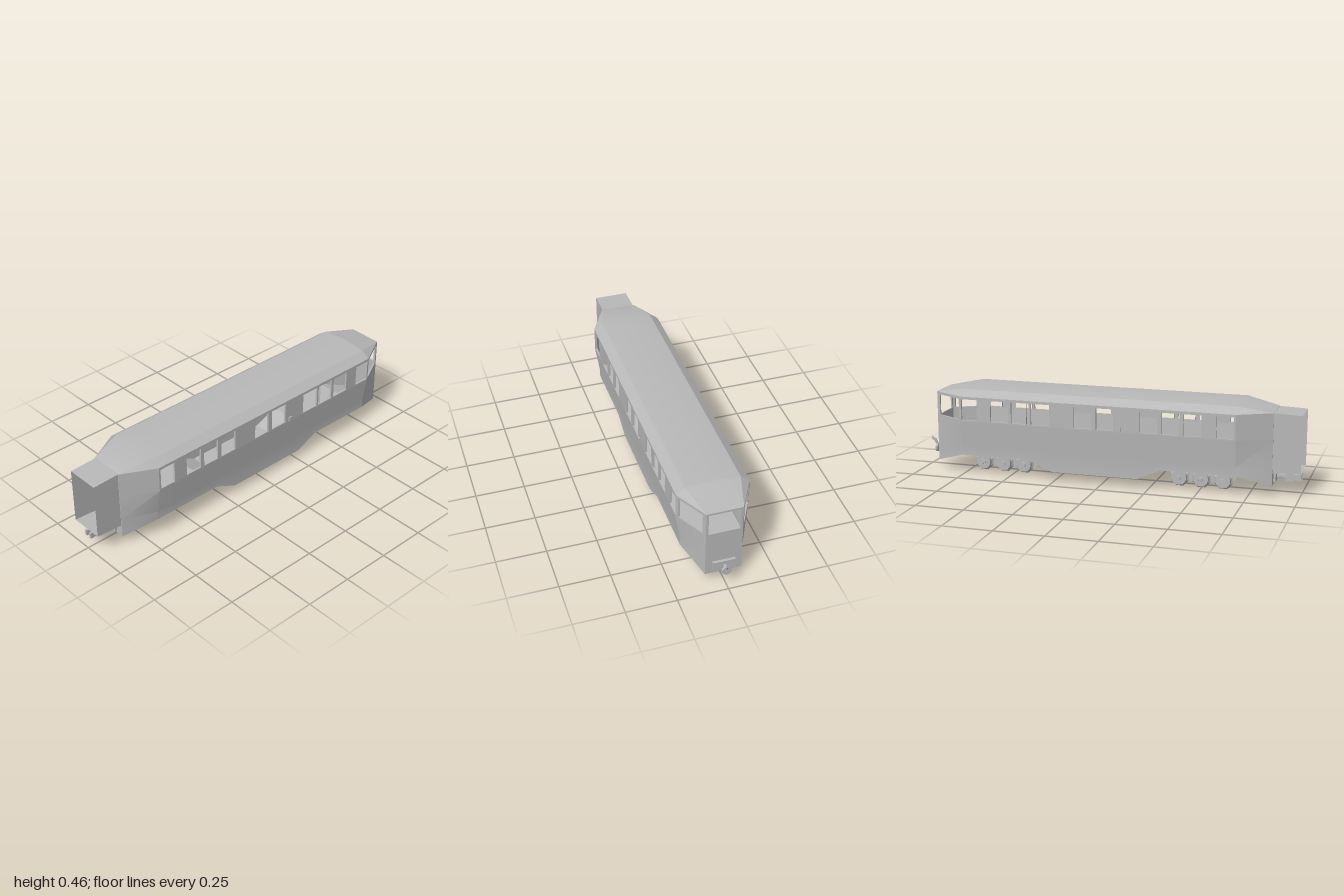
import * as THREE from 'three';
import { toCreasedNormals } from 'three/addons/utils/BufferGeometryUtils.js';

const shellGray = new THREE.MeshStandardMaterial({ color: 0xb8b8b8, side: THREE.DoubleSide });
const lerp = THREE.MathUtils.lerp;

// piecewise linear lookup in [x, value] knots
function ramp(knots, x) {
  for (let i = 1; i < knots.length; i++) {
    const [x0, v0] = knots[i - 1], [x1, v1] = knots[i];
    if (x <= x1) return lerp(v0, v1, (x - x0) / (x1 - x0));
  }
  return knots[knots.length - 1][1];
}

const REAR = -0.86, NOSE = 0.92;
const taper = [[REAR, 0], [-0.69, 1], [0.75, 1], [NOSE, 0]];
const belly = [[REAR, 0.05], [-0.69, 0.105], [-0.31, 0.105], [-0.19, 0.05],
  [0.26, 0.05], [0.39, 0.105], [0.75, 0.105], [NOSE, 0.05]];
const windows = [[-0.68, -0.595], [-0.52, -0.43], [-0.41, -0.32], [-0.297, -0.206],
  [-0.072, 0.019], [0.043, 0.139], [0.265, 0.366], [0.377, 0.473], [0.489, 0.586],
  [0.66, 0.746], [0.762, 0.9]];

// closed hull cross-section at x: up the left side, over the roof, down the right side
function section(x) {
  const t = ramp(taper, x), low = lerp(0.09, 0.158, t), wide = lerp(0.09, 0.18, t);
  const half = [[low, ramp(belly, x)], [low, 0.15], [wide, 0.285], [wide, 0.296],
    [wide, 0.406], [wide, 0.42], [lerp(0.09, 0.135, t), lerp(0.42, 0.452, t)]];
  const ridge = [0, lerp(0.42, 0.463, t)];
  const loop = [...half, ridge, ...half.map(([z, y]) => [-z, y]).reverse()];
  return loop.map(([z, y]) => new THREE.Vector3(x, y, z));
}

function meshFromPoints(name, points) {
  const geo = toCreasedNormals(new THREE.BufferGeometry().setFromPoints(points), 0.4);
  const mesh = new THREE.Mesh(geo, shellGray);
  mesh.name = name;
  return mesh;
}

const quad = (out, a, b, c, d) => out.push(a, b, c, a, c, d);

function buildHull() {
  const shell = [], reveals = [];
  const xs = [...new Set([...belly.map(k => k[0]), ...windows.flat()])].sort((a, b) => a - b);
  for (let i = 0; i + 1 < xs.length; i++) {
    const A = section(xs[i]), B = section(xs[i + 1]), n = A.length;
    const mid = (xs[i] + xs[i + 1]) / 2;
    const open = windows.some(([a, b]) => mid > a && mid < b);
    for (let j = 0; j < n; j++) {
      const k = (j + 1) % n;
      const corners = [A[j], B[j], B[k], A[k]];
      if (!(open && (j === 3 || j === 10))) { quad(shell, ...corners); continue; }
      // short reveals around each opening
      const inner = corners.map(p => p.clone().setZ(p.z - Math.sign(p.z) * 0.01));
      for (let e = 0; e < 4; e++) {
        const f = (e + 1) % 4;
        quad(reveals, corners[e], corners[f], inner[f], inner[e]);
      }
    }
  }
  return [meshFromPoints('hull', shell), meshFromPoints('windowReveals', reveals)];
}

function box(name, x0, x1, y0, y1, z0, z1) {
  const mesh = new THREE.Mesh(new THREE.BoxGeometry(x1 - x0, y1 - y0, z1 - z0), shellGray);
  mesh.position.set((x0 + x1) / 2, (y0 + y1) / 2, (z0 + z1) / 2);
  mesh.name = name;
  return mesh;
}

// flat end wall with one rectangular opening
function endWall(name, x, halfOpen, y0, y1) {
  const s = new THREE.Shape([[-0.09, 0.05], [0.09, 0.05], [0.09, 0.42], [-0.09, 0.42]]
    .map(p => new THREE.Vector2(...p)));
  s.holes.push(new THREE.Path([[-halfOpen, y0], [-halfOpen, y1], [halfOpen, y1], [halfOpen, y0]]
    .map(p => new THREE.Vector2(...p))));
  const geo = new THREE.ExtrudeGeometry(s, { depth: 0.008, bevelEnabled: false });
  const mesh = new THREE.Mesh(geo, shellGray);
  mesh.rotation.y = x > 0 ? Math.PI / 2 : -Math.PI / 2;
  mesh.position.x = x - Math.sign(x) * 0.008;
  mesh.name = name;
  return mesh;
}

// open-ended passage behind the rear wall
function buildGangway() {
  const ring = (x, y0, y1) => [[0.087, y0], [0.087, y1], [-0.087, y1], [-0.087, y0]]
    .map(([z, y]) => new THREE.Vector3(x, y, z));
  const A = ring(-1, 0.125, 0.414), B = ring(-0.855, 0.115, 0.419), out = [];
  for (let j = 0; j < 4; j++) quad(out, A[j], B[j], B[(j + 1) % 4], A[(j + 1) % 4]);
  return meshFromPoints('gangway', out);
}

// cylinder along z, with a flat side facing down
function disc(name, rOuter, rInner, depth, x, y, z, sides) {
  const geo = new THREE.CylinderGeometry(rOuter, rInner, depth, sides);
  geo.rotateY(Math.PI / sides).rotateX(Math.PI / 2);
  const mesh = new THREE.Mesh(toCreasedNormals(geo, 0.5), shellGray);
  mesh.position.set(x, y, z);
  mesh.name = name;
  return mesh;
}

function buildBogie(cx) {
  const g = new THREE.Group();
  g.name = 'bogie';
  g.add(box('bogieBolster', cx - 0.12, cx + 0.12, 0.075, 0.105, -0.035, 0.035));
  for (const dx of [-0.113, 0, 0.113]) {
    const x = cx + dx;
    g.add(disc('axle', 0.01, 0.01, 0.13, x, 0.05, 0, 8));
    for (const s of [-1, 1]) {
      const wheel = new THREE.Group();
      wheel.name = 'wheel';
      wheel.add(disc('flange', 0.043, 0.05, 0.007, 0, 0.05, 0.05, 8));
      wheel.add(disc('tread', 0.038, 0.041, 0.014, 0, 0.05, 0.061, 16));
      wheel.add(disc('hub', 0.012, 0.014, 0.004, 0, 0.05, 0.069, 8));
      wheel.position.x = x;
      if (s < 0) wheel.rotation.y = Math.PI;
      g.add(wheel);
    }
  }
  for (const s of [-1, 1]) {
    const zs = s > 0 ? [0.035, 0.046] : [-0.046, -0.035];
    g.add(box('sideFrame', cx - 0.155, cx + 0.155, 0.078, 0.1, ...zs));
    g.add(box('lowerRail', cx - 0.125, cx + 0.125, 0.032, 0.06, ...zs));
    for (const dx of [-0.057, 0.057])
      g.add(box('framePost', cx + dx - 0.015, cx + dx + 0.015, 0.04, 0.09, ...zs));
  }
  return g;
}

function buildFrontCoupler() {
  const g = new THREE.Group();
  g.name = 'frontCoupler';
  g.add(box('bufferPlate', 0.92, 0.934, 0.065, 0.12, -0.056, 0.056));
  g.add(box('drawbar', 0.93, 0.975, 0.084, 0.1, -0.008, 0.008));
  const head = disc('couplerHead', 0.024, 0.024, 0.012, 0.966, 0.092, 0, 8);
  head.rotation.y = Math.PI / 2;
  g.add(head);
  const hook = new THREE.Shape([[0.96, 0.1], [0.972, 0.1], [0.986, 0.127], [1, 0.134],
    [1, 0.15], [0.978, 0.135]].map(p => new THREE.Vector2(...p)));
  const lever = new THREE.Mesh(
    new THREE.ExtrudeGeometry(hook, { depth: 0.01, bevelEnabled: false }), shellGray);
  lever.position.z = -0.005;
  lever.name = 'hook';
  g.add(lever);
  return g;
}

function buildRearCoupler() {
  const g = new THREE.Group();
  g.name = 'rearCoupler';
  g.add(box('rearPlate', -0.872, -0.855, 0.062, 0.11, -0.05, 0.05));
  g.add(box('rearDrawbar', -0.94, -0.865, 0.076, 0.092, -0.01, 0.01));
  g.add(box('rearCouplerBlock', -0.955, -0.915, 0.062, 0.106, -0.02, 0.02));
  for (const s of [-1, 1])
    g.add(box('rearJaw', -0.995, -0.945, 0.07, 0.1, s * 0.016 - 0.006, s * 0.016 + 0.006));
  return g;
}

export function createModel() {
  const car = new THREE.Group();
  car.name = 'railCar';
  car.add(...buildHull());
  car.add(endWall('cabFront', NOSE, 0.078, 0.294, 0.41));
  car.add(endWall('rearWall', REAR, 0.07, 0.125, 0.41));
  car.add(buildGangway(), buildBogie(-0.497), buildBogie(0.563));
  car.add(buildFrontCoupler(), buildRearCoupler());
  // small door fittings, one per side
  car.add(box('leftDoorFitting', 0.16, 0.18, 0.295, 0.317, 0.178, 0.187));
  car.add(box('rightDoorFitting', -0.11, -0.09, 0.295, 0.317, -0.187, -0.178));
  return car;
}
